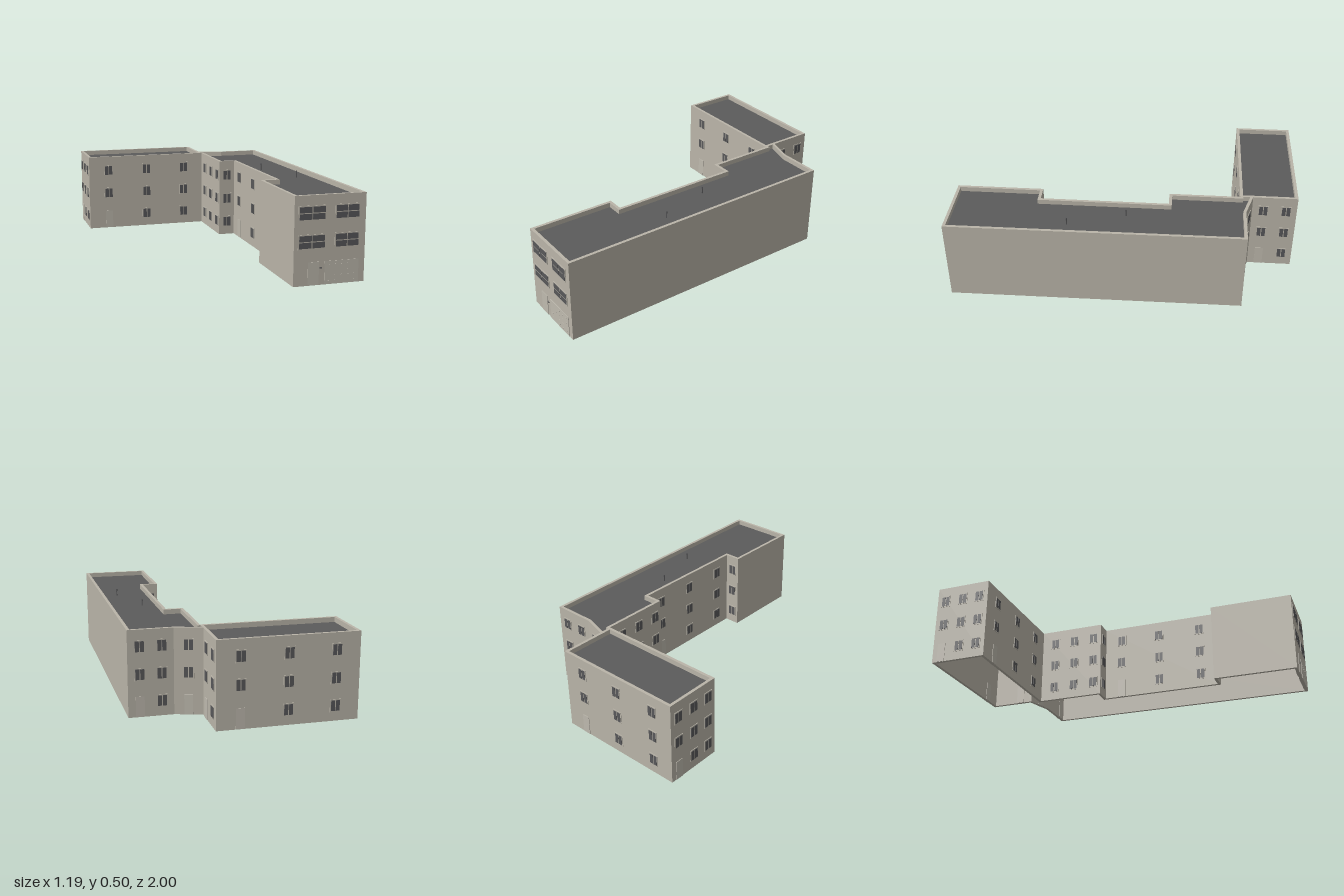
import * as THREE from 'three';

const mat = (name, color) => {
  const m = new THREE.MeshStandardMaterial({ color });
  m.name = name;
  return m;
};

export function createModel() {
  const wallMat = mat('wall render', 0xbab5a9);
  const roofMat = mat('roof felt', 0x5b5b5b);
  const glassMat = mat('window glass', 0x58585a);
  const doorMat = mat('door panel', 0xbfbaaf);
  const model = new THREE.Group();
  model.name = 'building';

  const TOP = 0.483, ROOF = 0.455, WALL = 0.017;

  // Footprint as (x, -z), counter-clockwise
  const plan = [
    [-0.595, 0.66], [0.185, 0.66], [0.185, 0.25], [0.285, 0.25], [0.285, -0.49],
    [0.19, -0.49], [0.19, -0.995], [0.595, -0.995], [0.585, 0.69], [0.335, 0.69],
    [0.185, 0.735], [0.185, 0.995], [-0.595, 0.995],
  ].map(([x, y]) => new THREE.Vector2(x, y));

  // Mitred inward offset of a closed outline
  const inset = (pts, t) => pts.map((p, i) => {
    const a = pts[(i + pts.length - 1) % pts.length], b = pts[(i + 1) % pts.length];
    const d1 = p.clone().sub(a).normalize(), d2 = b.clone().sub(p).normalize();
    const n1 = new THREE.Vector2(-d1.y, d1.x), n2 = new THREE.Vector2(-d2.y, d2.x);
    const m = n1.clone().add(n2);
    return p.clone().addScaledVector(m, t / (1 + n1.dot(n2)));
  });

  const extrude = (name, shape, y, depth, material) => {
    const g = new THREE.ExtrudeGeometry(shape, { depth, bevelEnabled: false });
    g.rotateX(-Math.PI / 2).translate(0, y, 0);
    const m = new THREE.Mesh(g, material);
    m.name = name;
    model.add(m);
  };

  // Outer walls, rising past the roof as a parapet, and the roof deck
  const ring = new THREE.Shape(plan);
  ring.holes.push(new THREE.Path(inset(plan, WALL).reverse()));
  extrude('walls', ring, 0, TOP, wallMat);
  extrude('roof', new THREE.Shape(inset(plan, WALL - 0.002)), ROOF - 0.01, 0.01, roofMat);

  const box = (parent, name, w, h, d, x, y, z, material) => {
    const m = new THREE.Mesh(new THREE.BoxGeometry(w, h, d), material);
    m.name = name;
    m.position.set(x, y, z);
    parent.add(m);
    return m;
  };

  // Parapet between the two wings
  box(model, 'crossParapet', WALL, TOP - ROOF, 0.07, 0.1765, (TOP + ROOF) / 2, -0.6975, wallMat);

  // A group on a wall, its local +z pointing outwards
  const onWall = (name, x, z, angle) => {
    const g = new THREE.Group();
    g.name = name;
    g.position.set(x, 0, z);
    g.rotation.y = angle;
    model.add(g);
    return g;
  };

  // Window: raised surround with a grid of thin panes
  const addWindow = (x, y, z, angle, w, h, rows) => {
    const g = onWall('window', x, z, angle);
    const rim = 0.006, bar = 0.005;
    box(g, 'windowFrame', w, h, 0.004, 0, y, 0.001, wallMat);
    const pw = (w - 2 * rim - bar) / 2, ph = (h - 2 * rim - bar * (rows - 1)) / rows;
    for (let c = 0; c < 2; c++) {
      for (let r = 0; r < rows; r++) {
        box(g, 'windowPane', pw, ph, 0.003, (c - 0.5) * (pw + bar),
          y + (r - (rows - 1) / 2) * (ph + bar), 0.003, glassMat);
      }
    }
  };

  // Door reaching through the wall, with a handle
  const addDoor = (x, z, angle, w = 0.048, h = 0.114) => {
    const g = onWall('door', x, z, angle);
    box(g, 'doorPanel', w, h, WALL + 0.006, 0, h / 2 + 0.001, -WALL / 2, doorMat);
    return g;
  };

  const LEVELS = [0.085, 0.238, 0.391];
  // Column of windows up the wall; a door may take the ground floor
  const addColumn = (x, z, angle, door = false) => {
    LEVELS.forEach((y, i) => {
      if (door && i === 0) addDoor(x, z, angle);
      else addWindow(x, y, z, angle, 0.06, 0.07, 1);
    });
  };

  const F = 0, B = Math.PI, L = Math.PI / 2, R = -Math.PI / 2;

  // Rear wing: both long sides and both ends
  [-0.465, -0.205, 0.055].forEach((x, i) => {
    addColumn(x, -0.66, F, i === 0);
    addColumn(x, -0.995, B, i === 2);
  });
  [-0.94, -0.825, -0.715].forEach((z, i) => addColumn(-0.595, z, R, i === 0));
  [-0.8, -0.933].forEach((z, i) => addColumn(0.185, z, L, i === 0));

  // Slanted link and back end of the long wing
  addColumn(0.26, -0.7125, Math.atan2(0.045, -0.15), true);
  [0.52, 0.4].forEach((x, i) => addColumn(x, -0.69, B, i === 0));

  // Courtyard side of the long wing
  [-0.57, -0.435, -0.3].forEach((z) => addColumn(0.185, z, R));
  [-0.14, 0.115, 0.385].forEach((z, i) => addColumn(0.285, z, R, i === 0));
  addColumn(0.236, -0.25, F);
  addColumn(0.236, 0.49, B);

  // Street front: wide windows, entrance and garage door
  for (const y of [0.236, 0.389]) {
    addWindow(0.29, y, 0.995, F, 0.156, 0.08, 2);
    addWindow(0.49, y, 0.995, F, 0.141, 0.08, 2);
  }
  addDoor(0.302, 0.995, F, 0.062, 0.126);
  const garage = addDoor(0.463, 0.995, F, 0.195, 0.126);
  garage.name = 'garageDoor';
  for (let r = 0; r < 4; r++) {
    for (let c = 0; c < 5; c++) {
      box(garage, 'garageStud', 0.008, 0.004, 0.002, (c - 2) * 0.037, 0.02 + r * 0.029, 0.0035, doorMat);
    }
  }
  box(model, 'entryPanel', 0.013, 0.006, 0.006, 0.343, 0.093, 0.997, glassMat);

  // Roof vents
  for (const [x, z] of [[0.38, -0.01], [0.484, 0.315]]) {
    const vent = new THREE.Mesh(new THREE.CylinderGeometry(0.003, 0.003, 0.03, 10), glassMat);
    vent.name = 'roofVent';
    vent.position.set(x, ROOF + 0.015, z);
    const cap = new THREE.Mesh(new THREE.CylinderGeometry(0.004, 0.004, 0.012, 10), glassMat);
    cap.name = 'ventCap';
    cap.position.set(x, ROOF + 0.036, z);
    model.add(vent, cap);
  }
  return model;
}
